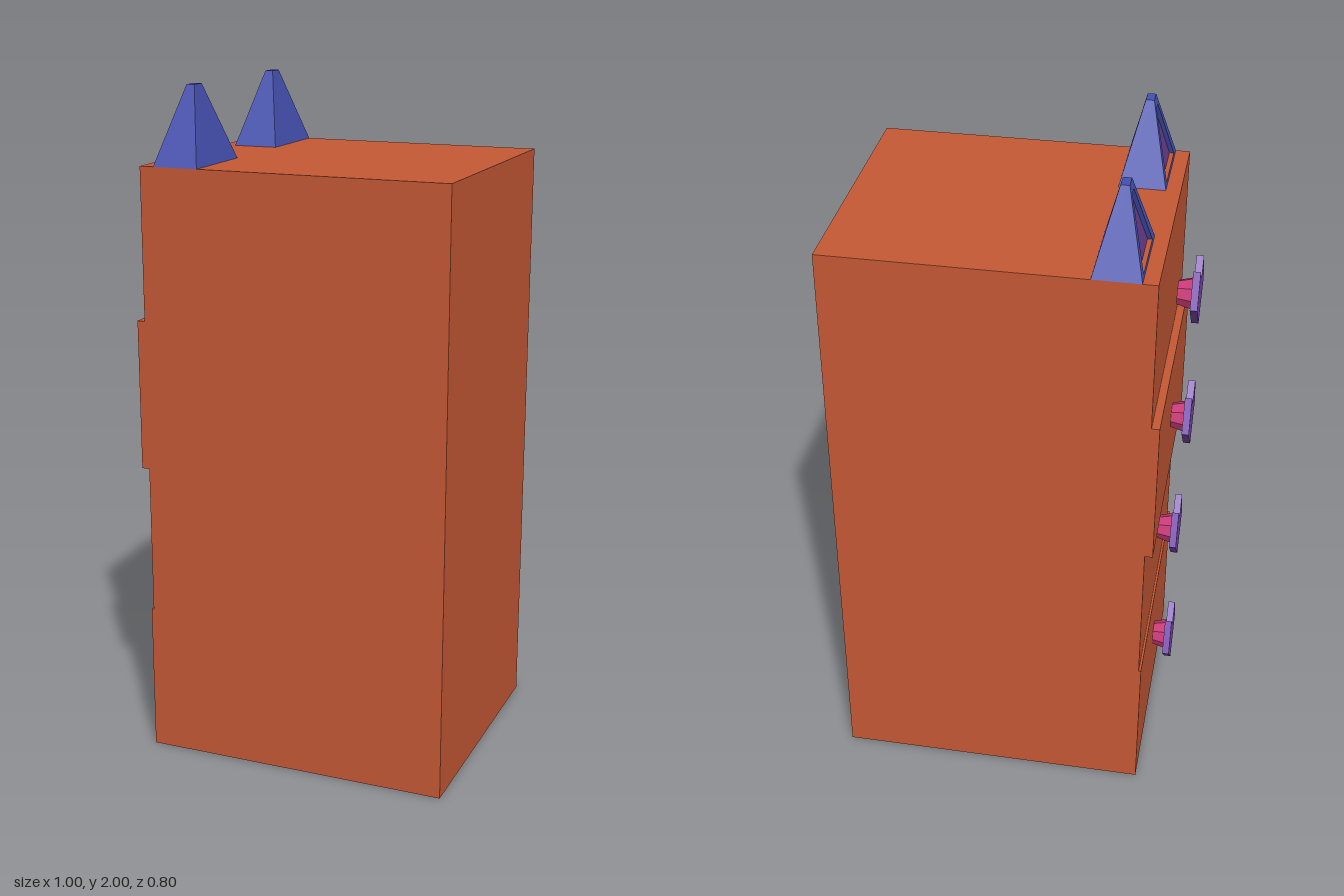
import * as THREE from 'three';

const mat = (name, color) => {
  const m = new THREE.MeshStandardMaterial({ color, flatShading: true });
  m.name = name;
  return m;
};

// Flat quads, corners counter-clockwise seen from outside
function quads(list) {
  const pos = [];
  for (const [a, b, c, d] of list) for (const p of [a, b, c, a, c, d]) pos.push(...p);
  const g = new THREE.BufferGeometry();
  g.setAttribute('position', new THREE.Float32BufferAttribute(pos, 3));
  g.computeVertexNormals();
  return g;
}

export function createModel() {
  const cabinet = mat('cabinet orange', 0xc65936);
  const earBlue = mat('ear blue', 0x4450b0);
  const innerPurple = mat('inner ear purple', 0x6a3c8c);
  const knobPurple = mat('knob purple', 0x7848ae);
  const stemPink = mat('stem pink', 0xcc3a7a);

  const model = new THREE.Group();
  const add = (parent, name, geometry, material, x = 0, y = 0, z = 0) => {
    const mesh = new THREE.Mesh(geometry, material);
    mesh.name = name;
    mesh.position.set(x, y, z);
    parent.add(mesh);
    return mesh;
  };

  // Cabinet body
  const H = 1.78, X1 = 0.5, X0 = -0.405;
  add(model, 'cabinetBody', new THREE.BoxGeometry(X1 - X0, H, 0.8), cabinet, (X0 + X1) / 2, H / 2, 0);

  // Heart-shaped knob plate, facing -x
  const heart = new THREE.Shape([
    [0, -0.097], [0.097, 0], [0.048, 0.097], [0, 0.045], [-0.048, 0.097], [-0.097, 0],
  ].map(([x, y]) => new THREE.Vector2(x, y)));
  const plateGeo = new THREE.ExtrudeGeometry(heart, { depth: 0.021, bevelEnabled: false });
  plateGeo.rotateY(-Math.PI / 2);
  const stemGeo = new THREE.CylinderGeometry(0.047, 0.036, 0.043, 8);
  stemGeo.rotateZ(Math.PI / 2);

  // Drawers pulled out by different amounts: front x, knob height, knob plate back x
  const drawerH = H / 4;
  [
    [-0.424, 0.25, -0.463],
    [-0.417, 0.69, -0.463],
    [-0.44, 1.115, -0.479],
    [-0.417, 1.535, -0.479],
  ].forEach(([front, knobY, plateX], i) => {
    const drawer = new THREE.Group();
    drawer.name = 'drawer' + (i + 1);
    model.add(drawer);
    const depth = X0 - front;
    add(drawer, 'drawerFront', new THREE.BoxGeometry(depth, drawerH, 0.8), cabinet,
      front + depth / 2, drawerH * (i + 0.5), 0);
    add(drawer, 'knobPlate', plateGeo, knobPurple, plateX, knobY, 0);
    add(drawer, 'knobStem', stemGeo, stemPink, plateX + 0.0215, knobY, 0);
  });

  // Ears: truncated pyramids with a recessed panel on the -x face
  const ring = (y, xa, xb, h) => [[xa, y, -h], [xa, y, h], [xb, y, h], [xb, y, -h]];
  const base = ring(H, -0.375, -0.24, 0.1325);
  const top = ring(2, -0.32, -0.296, 0.023);
  const facePoint = (t, z, inset = 0) => [-0.375 + 0.055 * t + inset, H + 0.22 * t, z];
  const opening = (inset) => [
    facePoint(0.04, -0.095, inset), facePoint(0.04, 0.095, inset),
    facePoint(0.88, 0.015, inset), facePoint(0.88, -0.015, inset),
  ];
  const outer = [base[0], base[1], top[1], top[0]];
  const rim = opening(0), deep = opening(0.013);
  const shell = [top.slice(), base.slice().reverse()];
  for (let i = 1; i < 4; i++) {
    const j = (i + 1) % 4;
    shell.push([base[i], base[j], top[j], top[i]]);
  }
  for (let i = 0; i < 4; i++) {
    const j = (i + 1) % 4;
    shell.push([outer[i], outer[j], rim[j], rim[i]]);
    if (i > 0) shell.push([rim[i], rim[j], deep[j], deep[i]]);
  }
  const shellGeo = quads(shell);
  const panelGeo = quads([deep]);
  const floorGeo = quads([[rim[0], rim[1], deep[1], deep[0]]]);
  for (const side of [1, -1]) {
    const ear = new THREE.Group();
    ear.name = side > 0 ? 'earFront' : 'earBack';
    ear.position.z = side * 0.2675;
    model.add(ear);
    add(ear, 'earShell', shellGeo, earBlue);
    add(ear, 'innerEar', panelGeo, innerPurple);
    add(ear, 'innerEarFloor', floorGeo, cabinet);
  }
  return model;
}
